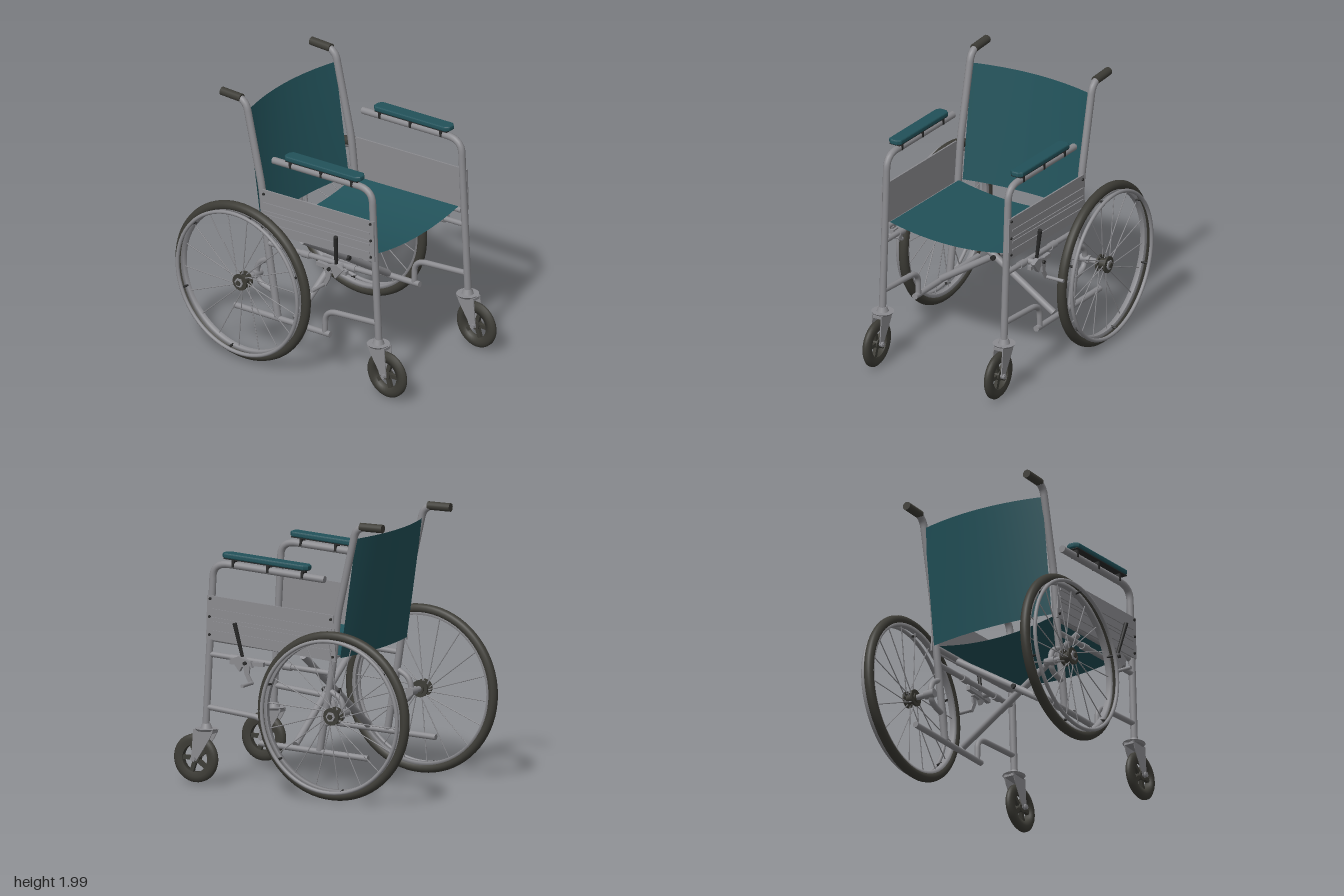
import * as THREE from 'three';

const paint = (name, color, side = THREE.FrontSide) => {
  const m = new THREE.MeshStandardMaterial({ color, side });
  m.name = name;
  return m;
};
const V = (x, y, z) => new THREE.Vector3(x, y, z);

export function createModel() {
  const metal = paint('grey metal', 0x8b8b8f);
  const rubber = paint('dark rubber', 0x3d3c36);
  const fabric = paint('teal fabric', 0x22525a, THREE.DoubleSide);
  const black = paint('black plastic', 0x2b2b2b);

  const model = new THREE.Group();
  model.name = 'wheelchair';

  const add = (parent, name, geo, mat, x = 0, y = 0, z = 0) => {
    const mesh = new THREE.Mesh(geo, mat);
    mesh.name = name;
    mesh.position.set(x, y, z);
    parent.add(mesh);
    return mesh;
  };
  // Straight round bar between two points
  const bar = (parent, name, a, b, r, mat, r2 = r, sides = 16) => {
    const d = b.clone().sub(a);
    const mesh = add(parent, name, new THREE.CylinderGeometry(r2, r, d.length(), sides), mat);
    mesh.position.copy(a).lerp(b, 0.5);
    mesh.quaternion.setFromUnitVectors(V(0, 1, 0), d.normalize());
    return mesh;
  };
  // Bent tube through [z, y] corners at a fixed x, with rounded bends and closed ends
  const bentTube = (parent, name, x, pts, r, bend) => {
    const p = pts.map(([z, y]) => V(x, y, z));
    const path = new THREE.CurvePath();
    let from = p[0];
    for (let i = 1; i < p.length - 1; i++) {
      const cut = (q) => p[i].clone().add(q.clone().sub(p[i]).setLength(Math.min(bend, q.distanceTo(p[i]) * 0.48)));
      const a = cut(p[i - 1]), b = cut(p[i + 1]);
      path.add(new THREE.LineCurve3(from, a));
      path.add(new THREE.QuadraticBezierCurve3(a, p[i], b));
      from = b;
    }
    path.add(new THREE.LineCurve3(from, p[p.length - 1]));
    add(parent, name, new THREE.TubeGeometry(path, 70, r, 14, false), metal);
    [[0, 1], [p.length - 1, p.length - 2]].forEach(([e, n]) => {
      const cap = add(parent, name + 'Cap', new THREE.CircleGeometry(r, 14), metal, ...p[e].toArray());
      cap.quaternion.setFromUnitVectors(V(0, 0, 1), p[e].clone().sub(p[n]).normalize());
    });
  };
  // Flat plate from a [z, y] outline, centred on x
  const plate = (parent, name, x, pts, thick, mat) => {
    const shape = new THREE.Shape(pts.map(([z, y]) => new THREE.Vector2(z, y)));
    const geo = new THREE.ExtrudeGeometry(shape, { depth: thick, bevelEnabled: false });
    return add(parent, name, geo.translate(0, 0, -thick / 2).rotateY(-Math.PI / 2), mat, x);
  };
  const ring = (R, r, n = 72) => new THREE.TorusGeometry(R, r, 14, n).rotateY(Math.PI / 2);
  const disc = (r, w, n = 28) => new THREE.CylinderGeometry(r, r, w, n).rotateZ(Math.PI / 2);

  // Sagging seat and curved backrest
  const sheet = (name, rule) => {
    const geo = new THREE.PlaneGeometry(2, 1, 24, 8);
    const pos = geo.attributes.position;
    for (let i = 0; i < pos.count; i++) {
      const u = pos.getX(i), v = pos.getY(i) + 0.5;
      pos.setXYZ(i, ...rule(u, v, 1 - u * u));
    }
    geo.computeVertexNormals();
    add(model, name, geo, fabric);
  };
  sheet('seat', (u, v, sag) => [u * 0.49, 1.09 - 0.06 * v - 0.058 * sag, 0.665 - 0.945 * v]);
  sheet('backrest', (u, v, sag) => [u * 0.495, 1.01 + 0.87 * v, -0.34 - 0.125 * v - (0.05 + 0.02 * v) * sag]);

  // Folding cross brace
  bar(model, 'crossBrace', V(-0.485, 1.0, 0.027), V(0.485, 0.355, 0.027), 0.026, metal);
  bar(model, 'crossBrace', V(0.485, 1.0, -0.035), V(-0.485, 0.355, -0.035), 0.026, metal);
  bar(model, 'bracePivot', V(0, 0.678, 0.07), V(0, 0.678, -0.075), 0.018, black);

  const rearWheel = (s) => {
    const w = new THREE.Group();
    w.name = s > 0 ? 'leftRearWheel' : 'rightRearWheel';
    w.position.set(s * 0.657, 0.62, -0.375);
    model.add(w);
    add(w, 'tyre', ring(0.575, 0.035), rubber);
    // Rim section turned around the axle
    const profile = [[0.53, -0.018], [0.56, -0.028], [0.56, 0.028], [0.53, 0.018], [0.53, -0.018]];
    const rim = new THREE.LatheGeometry(profile.map(([r, y]) => new THREE.Vector2(r, y)), 72);
    add(w, 'rim', rim.rotateZ(Math.PI / 2), metal);
    add(w, 'handRim', ring(0.547, 0.014), metal, s * 0.066);
    const at = (x, r, a) => V(s * x, r * Math.sin(a), r * Math.cos(a));
    for (let i = 0; i < 18; i++) {
      const a = (i / 18) * Math.PI * 2 + 0.1;
      const side = i % 2 ? 0.03 : -0.02;
      bar(w, 'spoke', at(side, 0.045, a + 0.5), at(0, 0.535, a), 0.004, metal, 0.004, 6);
    }
    for (let i = 0; i < 6; i++) {
      const a = (i / 6) * Math.PI * 2 - 0.68;
      bar(w, 'handRimPost', at(0.01, 0.535, a), at(0.066, 0.545, a), 0.009, black, 0.009, 8);
    }
    add(w, 'hub', disc(0.035, 0.09), rubber);
    [-0.028, 0.036].forEach((x) => add(w, 'hubFlange', disc(0.062, 0.014), rubber, s * x));
    add(w, 'hubCap', disc(0.036, 0.012, 6), metal, s * 0.048);
    add(w, 'hubNut', disc(0.02, 0.016, 6), rubber, s * 0.056);
    // Axle and its collar on the frame
    bar(w, 'axle', V(-s * 0.18, 0, 0), V(0, 0, 0), 0.021, metal);
    add(w, 'axleCollar', disc(0.032, 0.08), metal, -s * 0.15);
  };

  const caster = (s) => {
    const c = new THREE.Group();
    c.name = s > 0 ? 'leftCaster' : 'rightCaster';
    c.position.x = s * 0.505;
    model.add(c);
    const y = 0.195, z = 0.82;
    const profile = [[0.1, -0.022], [0.135, -0.028], [0.16, -0.022], [0.175, -0.008],
      [0.175, 0.008], [0.16, 0.022], [0.135, 0.028], [0.1, 0.022], [0.1, -0.022]];
    const tyre = new THREE.LatheGeometry(profile.map(([r, h]) => new THREE.Vector2(r, h)), 40);
    add(c, 'casterTyre', tyre.rotateZ(Math.PI / 2), rubber, 0, y, z);
    for (let i = 0; i < 5; i++) {
      const spoke = add(c, 'casterSpoke', new THREE.BoxGeometry(0.026, 0.09, 0.03).translate(0, 0.065, 0), rubber, 0, y, z);
      spoke.rotation.x = (i / 5) * Math.PI * 2 + 0.3;
    }
    add(c, 'casterHub', disc(0.035, 0.045), rubber, 0, y, z);
    // Fork, axle and swivel
    [-1, 1].forEach((k) => plate(c, 'forkBlade', k * 0.038,
      [[0.822, 0.41], [0.662, 0.41], [0.69, 0.35], [0.796, 0.185], [0.82, 0.172], [0.842, 0.188], [0.835, 0.25]], 0.008, metal));
    add(c, 'forkCrown', new THREE.BoxGeometry(0.084, 0.02, 0.15), metal, 0, 0.395, 0.743);
    add(c, 'swivelDisc', new THREE.CylinderGeometry(0.082, 0.07, 0.016, 28), metal, 0, 0.408, 0.738);
    add(c, 'swivelStem', new THREE.CylinderGeometry(0.03, 0.045, 0.04, 20), metal, 0, 0.432, 0.738);
    add(c, 'casterAxle', disc(0.01, 0.12, 12), metal, 0, y, z);
    [-0.05, 0.05].forEach((x) => add(c, 'axleNut', disc(0.02, 0.014, 6), metal, x, y, z));
  };

  const sideFrame = (s) => {
    const f = new THREE.Group();
    f.name = s > 0 ? 'leftFrame' : 'rightFrame';
    model.add(f);
    const x = s * 0.505;
    // Main tubes
    bentTube(f, 'frontPostAndArm', x, [[0.742, 0.42], [0.69, 1.4], [0.68, 1.62], [-0.22, 1.568]], 0.026, 0.13);
    bentTube(f, 'backPost', x, [[-0.18, 0.33], [-0.285, 0.95], [-0.325, 1.32], [-0.475, 1.97], [-0.68, 1.97]], 0.027, 0.08);
    bar(f, 'handGrip', V(x, 1.972, -0.51), V(x, 1.972, -0.69), 0.031, rubber);
    bar(f, 'sideRail', V(x, 0.955, 0.71), V(x, 0.895, -0.28), 0.02, metal);
    bar(f, 'seatRail', V(s * 0.495, 1.065, 0.69), V(s * 0.495, 1.005, -0.29), 0.02, metal);
    bar(f, 'lowerRail', V(x, 0.345, 0.3), V(x, 0.305, -0.57), 0.022, metal);
    bentTube(f, 'frontBrace', x, [[0.73, 0.572], [0.255, 0.525], [0.25, 0.345]], 0.021, 0.11);
    bentTube(f, 'axleLoop', x, [[-0.245, 0.78], [-0.37, 0.71], [-0.37, 0.56], [-0.205, 0.525]], 0.021, 0.08);
    [0.5, 0.08].forEach((z) => bar(f, 'railSleeve', V(x, 0.912 + z * 0.06, z + 0.035), V(x, 0.908 + z * 0.06, z - 0.035), 0.027, metal));

    // Side guard with pressed ribs and corner screws
    const gx = s * 0.528;
    plate(f, 'sideGuard', gx, [[0.715, 1.383], [-0.305, 1.32], [-0.325, 0.985], [0.725, 1.068]], 0.012, metal);
    [1.29, 1.228, 1.2, 1.135].forEach((y) => plate(f, 'guardRib', gx + s * 0.009,
      [[0.68, y], [-0.29, y - 0.066], [-0.29, y - 0.08], [0.68, y - 0.014]], 0.008, metal));
    [[0.695, 1.23], [0.695, 1.1], [0.69, 1.36], [-0.285, 1.29], [-0.3, 1.02]].forEach(([z, y]) =>
      add(f, 'guardScrew', disc(0.01, 0.01, 10), black, gx + s * 0.01, y, z));

    // Padded armrest on clamps
    const pad = new THREE.Group();
    pad.name = 'armrest';
    pad.position.set(x, 1.645, 0.248);
    pad.rotation.x = -0.058;
    f.add(pad);
    const shape = new THREE.Shape();
    const hw = 0.04, hl = 0.335, c = 0.02;
    [[-hw + c, -hl], [hw - c, -hl], [hw, -hl + c], [hw, hl - c], [hw - c, hl], [-hw + c, hl], [-hw, hl - c], [-hw, -hl + c]]
      .forEach(([a, b], i) => (i ? shape.lineTo(a, b) : shape.moveTo(a, b)));
    const padGeo = new THREE.ExtrudeGeometry(shape, { depth: 0.015, bevelSize: 0.011, bevelThickness: 0.012, bevelSegments: 3 });
    add(pad, 'armPad', padGeo.rotateX(-Math.PI / 2), fabric, 0, 0.011, 0);
    add(pad, 'armPadBase', new THREE.BoxGeometry(0.085, 0.008, 0.66), black, 0, -0.003, 0);
    [-0.3, -0.02, 0.26].forEach((z) => add(pad, 'armClamp', new THREE.BoxGeometry(0.058, 0.06, 0.018), black, 0, -0.032, z));

    // Parking brake
    const b = new THREE.Group();
    b.name = 'brake';
    f.add(b);
    bar(b, 'brakeMount', V(x, 0.935, 0.42), V(s * 0.6, 0.935, 0.42), 0.022, metal);
    plate(b, 'brakePlate', s * 0.588, [[0.49, 0.95], [0.43, 0.975], [0.33, 0.945], [0.315, 0.9], [0.4, 0.9], [0.42, 0.865]], 0.03, metal);
    bar(b, 'brakeLever', V(s * 0.575, 0.97, 0.408), V(s * 0.625, 1.215, 0.444), 0.012, black, 0.016);
    plate(b, 'brakeArm', s * 0.6, [[0.39, 0.93], [0.33, 0.92], [0.34, 0.85], [0.305, 0.785], [0.335, 0.78], [0.375, 0.85]], 0.014, metal);
    bar(b, 'brakeShoe', V(s * 0.59, 0.79, 0.32), V(s * 0.745, 0.79, 0.32), 0.013, metal);
    add(b, 'brakeBolt', disc(0.014, 0.05, 8), black, s * 0.595, 0.93, 0.37);
    add(b, 'brakeSlide', new THREE.BoxGeometry(0.03, 0.03, 0.27), metal, s * 0.572, 0.925, 0.37);
  };

  [1, -1].forEach((s) => {
    rearWheel(s);
    caster(s);
    sideFrame(s);
  });
  return model;
}
